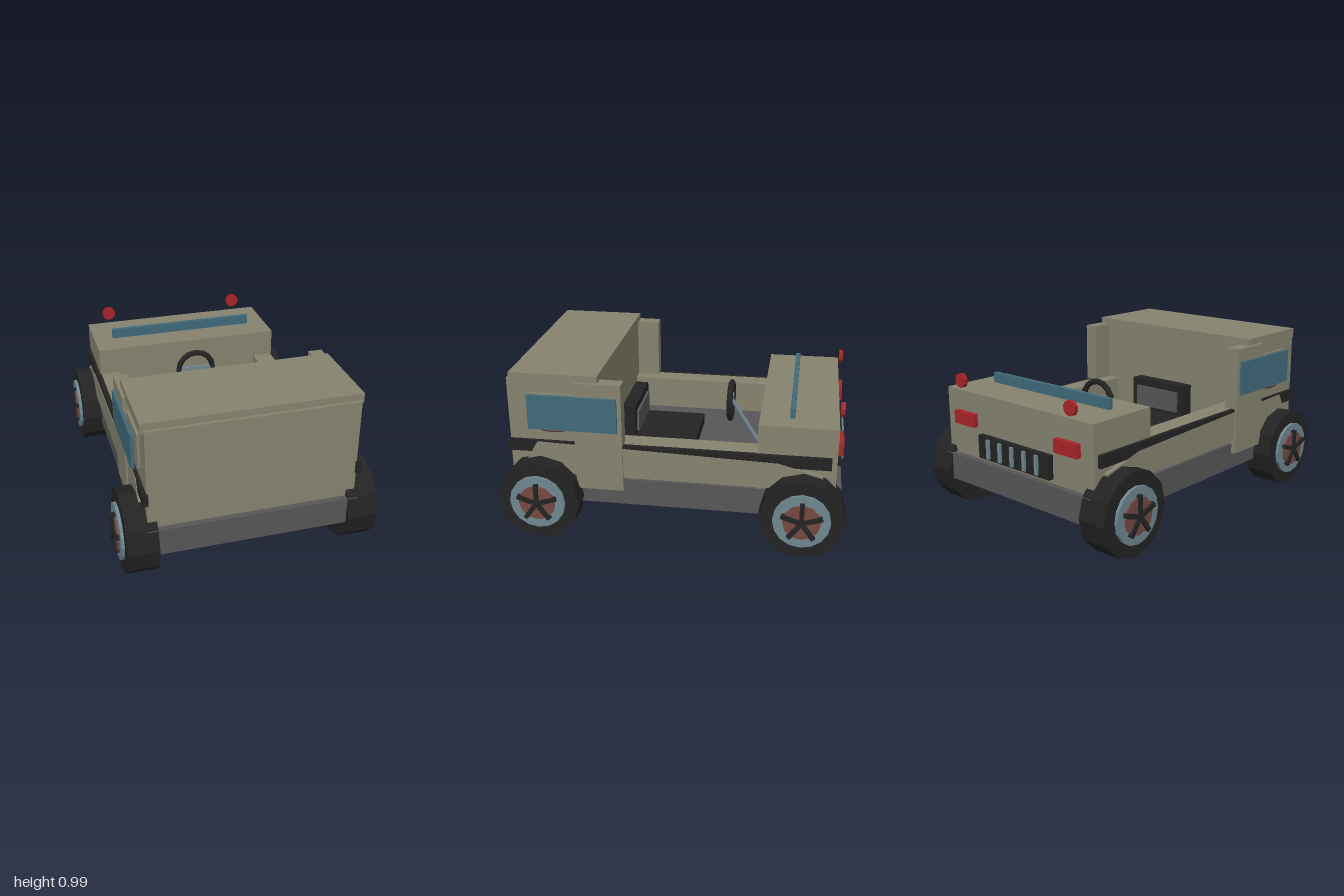
import * as THREE from 'three';

const mat = (name, color) => {
  const m = new THREE.MeshStandardMaterial({ color, flatShading: true });
  m.name = name;
  return m;
};

export function createModel() {
  const paint = mat('khaki paint', 0x86836f);
  const black = mat('black rubber', 0x232323);
  const grey = mat('chassis grey', 0x575757);
  const glass = mat('teal glass', 0x3f6a7a);
  const steel = mat('blue steel', 0x6f8690);
  const brown = mat('red brown', 0x74483f);
  const red = mat('lamp red', 0xa82327);

  const model = new THREE.Group();
  model.name = 'openCar';

  const add = (name, geometry, material, parent = model) => {
    const mesh = new THREE.Mesh(geometry, material);
    mesh.name = name;
    parent.add(mesh);
    return mesh;
  };
  // Box given by its limits on each axis
  const box = (name, material, [x0, x1], [y0, y1], [z0, z1], parent = model) => {
    const mesh = add(name, new THREE.BoxGeometry(x1 - x0, y1 - y0, z1 - z0), material, parent);
    mesh.position.set((x0 + x1) / 2, (y0 + y1) / 2, (z0 + z1) / 2);
    return mesh;
  };
  // The same box on both sides
  const pair = (name, material, [x0, x1], y, z) => {
    box(name, material, [x0, x1], y, z);
    box(name, material, [-x1, -x0], y, z);
  };

  // Chassis and main body blocks
  box('chassis', grey, [-0.6, 0.6], [0.2, 0.36], [-0.97, 0.97]);
  box('frontCabin', paint, [-0.592, 0.592], [0.36, 0.95], [0.41, 0.935]);
  box('roof', paint, [-0.61, 0.61], [0.93, 0.99], [0.405, 0.915]);
  box('rearBox', paint, [-0.592, 0.592], [0.36, 0.75], [-0.935, -0.492]);
  pair('tubWall', paint, [0.465, 0.587], [0.38, 0.58], [-0.495, 0.41]);
  pair('doorPillar', paint, [0.545, 0.628], [0.3, 0.95], [0.27, 0.545]);
  pair('sideRail', black, [0.585, 0.614], [0.51, 0.58], [-0.905, 0.95]);
  pair('windowFrame', paint, [0.58, 0.608], [0.665, 0.87], [0.295, 0.81]);
  pair('sideWindow', glass, [0.624, 0.643], [0.665, 0.87], [0.295, 0.81]);

  // Side panels that taper toward the rear
  const panel = new THREE.Shape(
    [[0.84, 0.38], [0.84, 0.455], [0.77, 0.575], [0.27, 0.562], [-0.61, 0.535], [-0.86, 0.47], [-0.86, 0.38]]
      .map(([z, y]) => new THREE.Vector2(-z, y)));
  const panelGeo = new THREE.ExtrudeGeometry(panel, { depth: 0.036, bevelEnabled: false });
  panelGeo.rotateY(Math.PI / 2);
  for (const x of [0.582, -0.618]) add('sidePanel', panelGeo, paint).position.x = x;

  // Oval handles under the windows
  for (const s of [-1, 1]) {
    const handle = add('doorHandle', new THREE.SphereGeometry(1, 12, 6), brown);
    handle.scale.set(0.034, 0.018, 0.09);
    handle.position.set(s * 0.592, 0.653, 0.675);
  }

  // Rear details
  box('rearScreen', glass, [-0.47, 0.47], [0.74, 0.81], [-0.688, -0.66]);
  pair('tailLamp', red, [0.33, 0.5], [0.553, 0.63], [-0.968, -0.93]);
  box('grille', black, [-0.29, 0.29], [0.385, 0.522], [-0.968, -0.93]);
  for (let i = -2; i <= 2; i++) {
    box('grilleBar', steel, [i * 0.1 - 0.011, i * 0.1 + 0.011], [0.397, 0.51], [-0.982, -0.96]);
  }
  for (const s of [-1, 1]) {
    const lamp = add('roundLamp', new THREE.CylinderGeometry(0.043, 0.043, 0.024, 10), red);
    lamp.rotation.x = Math.PI / 2;
    lamp.position.set(s * 0.445, 0.812, -0.948);
  }

  // Seat
  box('seatBase', black, [-0.215, 0.215], [0.385, 0.45], [-0.09, 0.395]);
  box('seatBack', black, [-0.21, 0.21], [0.42, 0.65], [0.28, 0.36]);
  box('seatPad', grey, [-0.165, 0.165], [0.475, 0.605], [0.265, 0.285]);

  // Steering wheel, spoke and column
  const steering = new THREE.Group();
  steering.name = 'steeringWheel';
  steering.position.set(0, 0.645, -0.284);
  model.add(steering);
  add('steeringRim', new THREE.TorusGeometry(0.112, 0.018, 8, 16), black, steering);
  box('steeringSpoke', steel, [-0.1, 0.1], [-0.014, 0.014], [-0.01, 0.01], steering);
  const columnPath = new THREE.LineCurve3(new THREE.Vector3(0, 0.65, -0.29), new THREE.Vector3(0, 0.355, -0.475));
  add('steeringColumn', new THREE.TubeGeometry(columnPath, 1, 0.012, 8), steel);

  // Wheels: each is built with its outer face toward +x
  const disc = (name, material, r, x0, x1, sides, parent) => {
    const g = new THREE.CylinderGeometry(r, r, x1 - x0, sides);
    g.rotateZ(Math.PI / 2);
    add(name, g, material, parent).position.x = (x0 + x1) / 2;
  };
  for (const s of [-1, 1]) {
    for (const z of [-0.757, 0.757]) {
      const wheel = new THREE.Group();
      wheel.name = 'wheel';
      wheel.position.set(0, 0.243, z);
      wheel.rotation.y = s > 0 ? 0 : Math.PI;
      model.add(wheel);
      disc('tire', black, 0.243, 0.54, 0.717, 12, wheel);
      disc('rim', steel, 0.163, 0.7, 0.735, 16, wheel);
      disc('hub', brown, 0.107, 0.72, 0.745, 12, wheel);
      for (let i = 0; i < 5; i++) {
        const arm = new THREE.Group();
        arm.name = 'spokeArm';
        arm.rotation.x = i * Math.PI * 2 / 5;
        wheel.add(arm);
        box('spoke', black, [0.735, 0.758], [0, 0.12], [-0.013, 0.013], arm);
      }
    }
  }
  return model;
}
